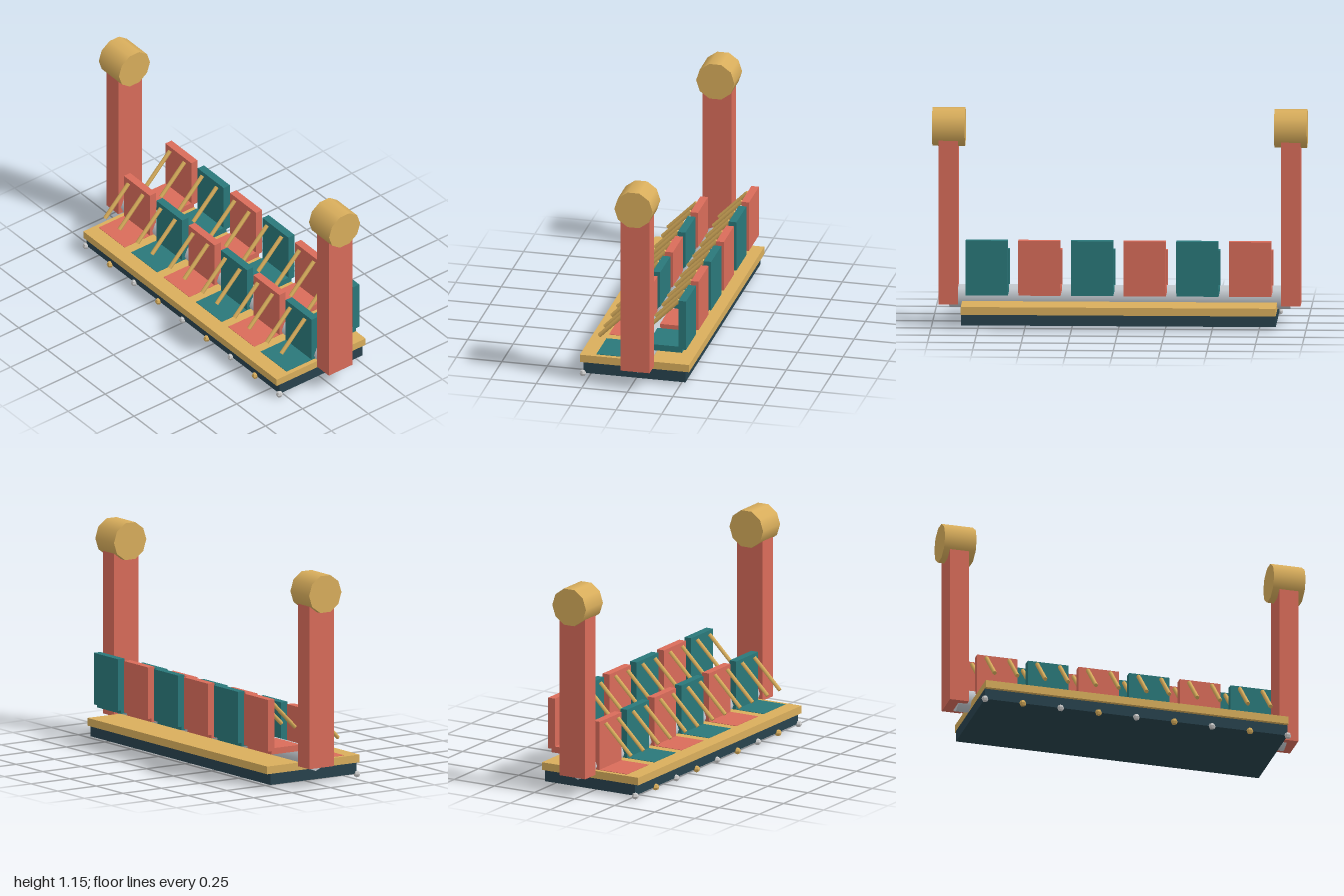
import * as THREE from 'three';

const mat = (color, flatShading = false) => new THREE.MeshStandardMaterial({ color, flatShading });

export function createModel() {
  const model = new THREE.Group();
  const gold = mat(0xd9ae5c), red = mat(0xd96c5a), teal = mat(0x2a787a);
  const dark = mat(0x28424d), steel = mat(0xc3c9cf);
  const studMats = [mat(0xcccccc, true), mat(0xd9ae5c, true)];

  const add = (parent, name, geometry, material, x, y, z) => {
    const mesh = new THREE.Mesh(geometry, material);
    mesh.name = name;
    mesh.position.set(x, y, z);
    parent.add(mesh);
    return mesh;
  };
  const box = (w, h, d) => new THREE.BoxGeometry(w, h, d);

  // Platform
  add(model, 'deck', box(1.68, 0.042, 0.6), gold, 0, 0.101, 0);
  add(model, 'underbody', box(1.68, 0.06, 0.56), dark, 0, 0.05, 0);

  // Axle running through both arms
  const axisZ = -0.034;
  add(model, 'axle', new THREE.CylinderGeometry(0.0625, 0.0625, 1.82, 8).rotateZ(Math.PI / 2),
    steel, 0, 0.143, axisZ);

  // Swing arms with counterweights
  for (const [side, s] of [['left', 1], ['right', -1]]) {
    add(model, side + 'Arm', box(0.104, 0.943, 0.16), red, s * 0.914, 0.5785, axisZ);
    add(model, side + 'Counterweight',
      new THREE.CylinderGeometry(0.105, 0.105, 0.175, 10).rotateZ(Math.PI / 2),
      gold, s * 0.9125, 1.055, axisZ);
  }

  // Two rows of seats, the back row raised
  const seatGeo = box(0.225, 0.034, 0.19), backGeo = box(0.225, 0.28, 0.042);
  const barGeo = new THREE.CylinderGeometry(0.0115, 0.0115, 0.225, 6).rotateX(-Math.PI / 4);
  const rows = [['front', 0, 0], ['back', 0.088, -0.28]];
  for (const [row, dy, dz] of rows) {
    for (let i = 0; i < 6; i++) {
      const place = new THREE.Group();
      place.name = row + 'RowSeat' + (i + 1);
      place.position.set((i - 2.5) * 0.281, dy, dz);
      const colour = i % 2 ? teal : red;
      add(place, 'seat', seatGeo, colour, 0, 0.107, 0.12);
      add(place, 'backrest', backGeo, colour, 0, 0.249, 0.024);
      // Slanted restraint bars
      for (const x of [-0.063, 0.063]) add(place, 'restraintBar', barGeo, gold, x, 0.2915, 0.132);
      model.add(place);
    }
  }

  // Lamps along the front lower edge
  const lampGeo = new THREE.SphereGeometry(0.019, 6, 4);
  for (let i = 0; i < 9; i++) {
    add(model, 'lamp' + (i + 1), lampGeo, studMats[i % 2], (i - 4) * 0.21, 0.019, 0.282);
  }
  return model;
}
